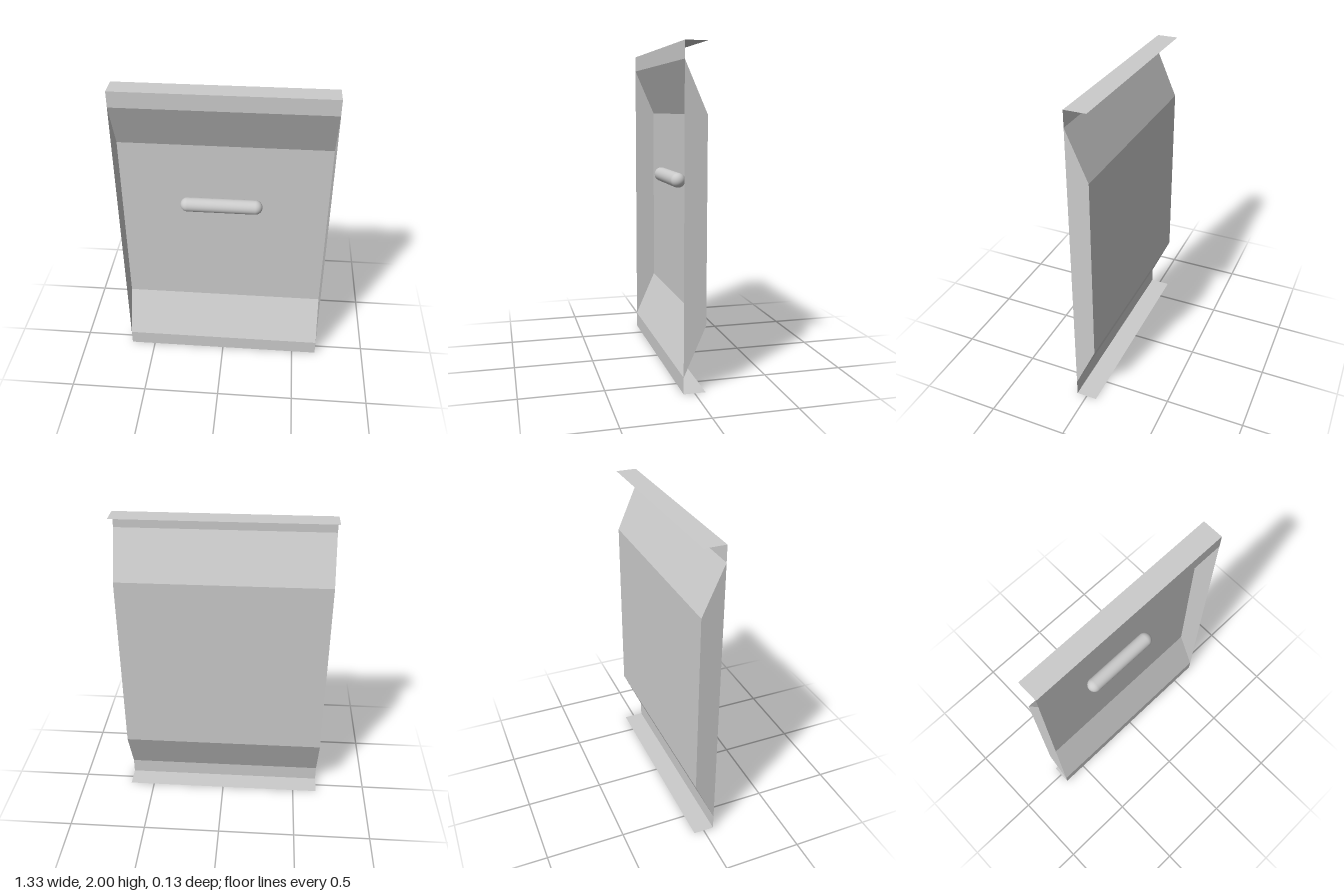
import * as THREE from 'three';

const HALF_W = 0.665, D = 0.0665;
const material = new THREE.MeshStandardMaterial({ color: 0xcccccc, side: THREE.DoubleSide });

// Flat strip spanning the full width between two (z, y) profile points
function strip(name, [z0, y0], [z1, y1]) {
  const geo = new THREE.PlaneGeometry(2 * HALF_W, Math.hypot(z1 - z0, y1 - y0));
  geo.rotateX(Math.atan2(z1 - z0, y1 - y0));
  geo.translate(0, (y0 + y1) / 2, (z0 + z1) / 2);
  const mesh = new THREE.Mesh(geo, material);
  mesh.name = name;
  return mesh;
}

export function createModel() {
  const group = new THREE.Group();
  group.name = 'recessedPanel';

  // Folded sheet, followed from the bottom flange to the top flange
  const profile = [[-D, 0], [D, 0], [D, 0.1], [-D, 0.4], [-D, 1.6], [D, 1.9], [D, 2], [-D, 2]];
  const names = ['bottomFlange', 'bottomLip', 'lowerSlope', 'backPanel', 'upperSlope', 'topLip', 'topFlange'];
  names.forEach((name, i) => group.add(strip(name, profile[i], profile[i + 1])));

  // Trapezoid walls closing the recess on both sides
  const outline = new THREE.Shape(profile.slice(2, 6).map(([z, y]) => new THREE.Vector2(z, y)));
  for (const side of [-1, 1]) {
    const geo = new THREE.ShapeGeometry(outline);
    geo.rotateY(-Math.PI / 2); // shape x becomes z
    const wall = new THREE.Mesh(geo, material);
    wall.name = side > 0 ? 'leftWall' : 'rightWall';
    wall.position.x = side * HALF_W;
    group.add(wall);
  }

  // Round-ended grip resting on the back panel
  const r = 0.046;
  const grip = new THREE.Mesh(new THREE.CapsuleGeometry(r, 0.525 - 2 * r, 12, 32), material);
  grip.name = 'handle';
  grip.rotation.z = Math.PI / 2;
  grip.position.set(-0.016, 1.193, -D + r);
  group.add(grip);

  return group;
}
